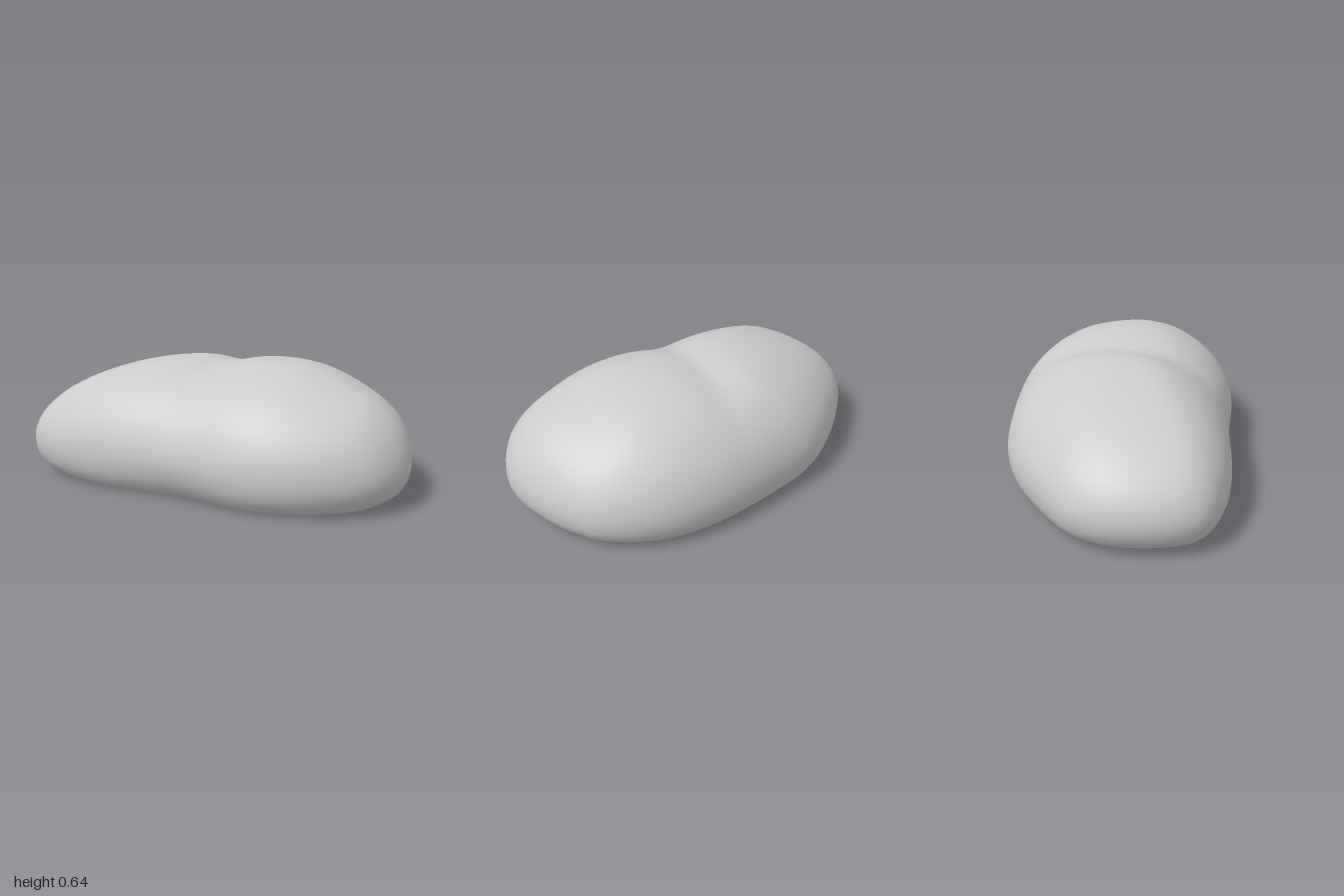
import * as THREE from 'three';

const { smoothstep } = THREE.MathUtils;

// Footprint at the widest level, as [x, z], running from +x through +z
const FOOTPRINT = [
  [1, 0.04], [0.95, 0.24], [0.88, 0.33], [0.75, 0.43], [0.6, 0.505], [0.42, 0.555], [0, 0.57],
  [-0.48, 0.612], [-0.69, 0.6], [-0.88, 0.53], [-0.965, 0.38], [-1, 0.13], [-0.95, -0.05],
  [-0.8, -0.225], [-0.57, -0.415], [-0.4, -0.5], [-0.2, -0.55], [0, -0.59], [0.22, -0.617],
  [0.43, -0.607], [0.61, -0.555], [0.77, -0.46], [0.86, -0.35], [0.93, -0.22],
];
const WAIST = 0.18, CROWN = 0.463, SEGMENTS = 72;

// Vertical profile as [footprint scale, height]: flat base, tight lower edge, elliptical dome
function makeProfile() {
  const rows = [[0.4, 0.005], [0.7, 0.005], [0.79, 0.006]];
  for (let i = 1; i <= 5; i++) {
    const a = (i / 6) * Math.PI / 2;
    rows.push([0.81 + 0.19 * Math.sin(a), WAIST - (WAIST - 0.005) * Math.cos(a)]);
  }
  for (let i = 0; i < 20; i++) {
    const a = (i / 20) * Math.PI / 2;
    rows.push([Math.cos(a), WAIST + CROWN * Math.sin(a)]);
  }
  return rows;
}

// Height change along the dome: shallow saddle in the middle, fuller +x end
function domeFactor(x, z) {
  const change = -0.07 * Math.exp(-((x / 0.12) ** 2))
    + 0.11 * smoothstep(x, 0.05, 0.55) + 0.12 * smoothstep(x, 0.65, 0.95);
  return 1 + change * Math.max(0, 1 - (z / 0.62) ** 2);
}

function pebbleGeometry() {
  const curve = new THREE.CatmullRomCurve3(
    FOOTPRINT.map(([x, z]) => new THREE.Vector3(x, 0, z)), true);
  const outline = curve.getSpacedPoints(SEGMENTS).slice(0, SEGMENTS);
  const rows = makeProfile();
  const positions = [0, 0.005, 0];
  const index = [];

  for (const [scale, height] of rows) {
    for (const p of outline) {
      const x = p.x * scale;
      let z = p.z * scale;
      let y = height;
      if (y > WAIST) y = WAIST + (y - WAIST) * domeFactor(x, z);
      // Slight hollow along the lower front
      else if (z > 0) z -= 0.03 * scale * (1 - y / WAIST) * Math.exp(-(((x - 0.05) / 0.3) ** 2));
      positions.push(x, y, z);
    }
  }
  const top = positions.length / 3;
  positions.push(0, WAIST + CROWN * domeFactor(0, 0), 0);

  const last = 1 + (rows.length - 1) * SEGMENTS;
  for (let j = 0; j < SEGMENTS; j++) {
    const k = (j + 1) % SEGMENTS;
    index.push(0, 1 + j, 1 + k);
    for (let i = 0; i < rows.length - 1; i++) {
      const r = 1 + i * SEGMENTS, s = r + SEGMENTS;
      index.push(r + j, s + j, r + k, r + k, s + j, s + k);
    }
    index.push(last + j, top, last + k);
  }

  const geometry = new THREE.BufferGeometry();
  geometry.setAttribute('position', new THREE.Float32BufferAttribute(positions, 3));
  geometry.setIndex(index);
  geometry.computeVertexNormals();
  return geometry;
}

export function createModel() {
  const group = new THREE.Group();
  group.name = 'pebble';
  const stone = new THREE.Mesh(
    pebbleGeometry(), new THREE.MeshStandardMaterial({ color: 0xcccccc }));
  stone.name = 'stone';
  group.add(stone);
  return group;
}
